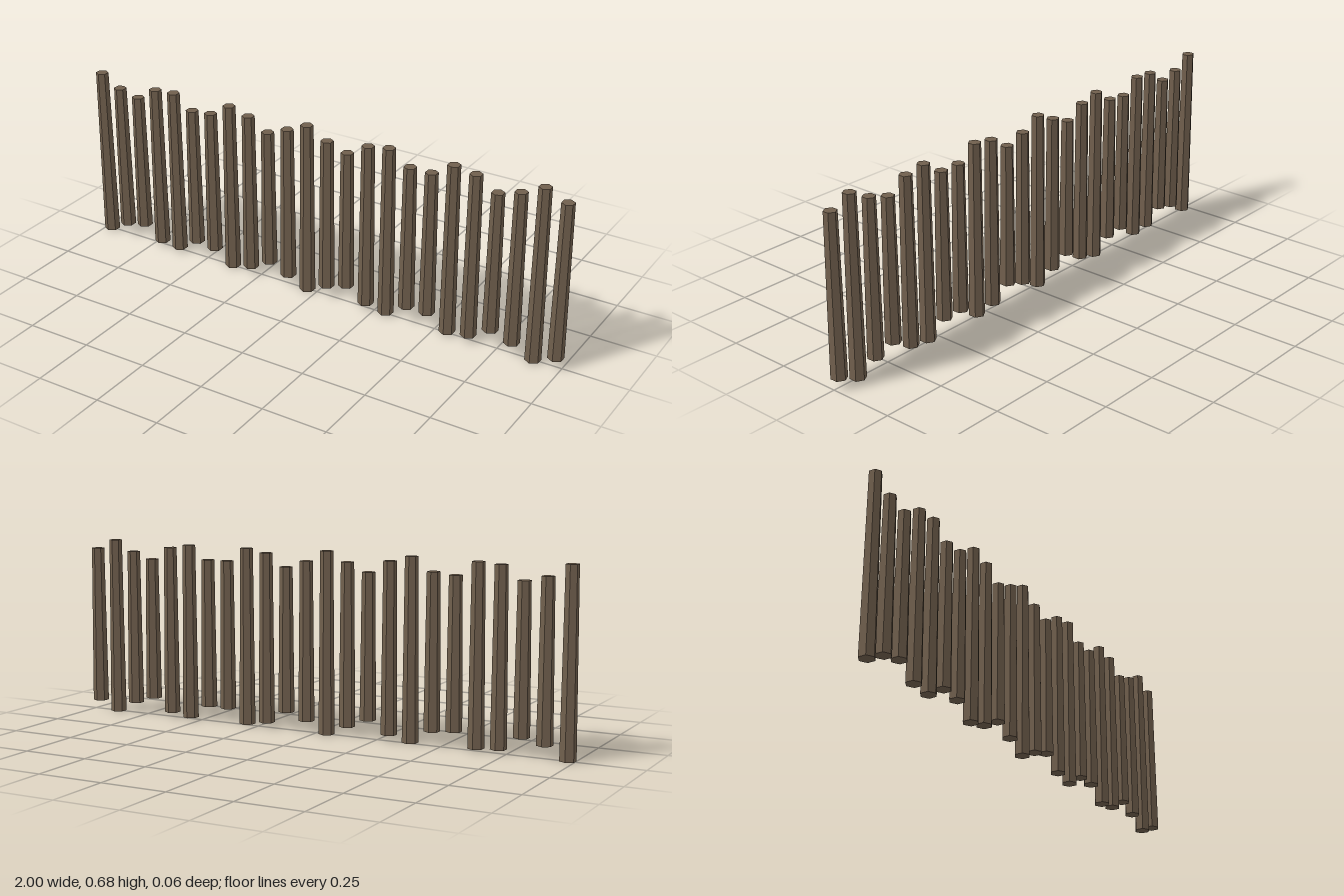
import * as THREE from 'three';

const COUNT = 24;
const BOTTOM_RADIUS = 0.03;
const TOP_RADIUS = 0.024;
const CENTRE_Y = 0.339;

export function createModel() {
  const model = new THREE.Group();
  model.name = 'postRow';

  const wood = new THREE.MeshStandardMaterial({ color: 0x705f4d, flatShading: true });
  wood.name = 'weatheredWood';

  // Tapered six-sided posts sharing one mid-height, their lengths following a wave
  const endX = 1 - BOTTOM_RADIUS * Math.cos(Math.PI / 6);
  for (let i = 0; i < COUNT; i++) {
    const length = 0.609 + 0.069 * Math.cos(1.7 * i + 0.22);
    const post = new THREE.Mesh(
      new THREE.CylinderGeometry(TOP_RADIUS, BOTTOM_RADIUS, length, 6),
      wood
    );
    post.name = `post${i + 1}`;
    post.position.set(-endX + (2 * endX * i) / (COUNT - 1), CENTRE_Y, 0);
    model.add(post);
  }
  return model;
}
